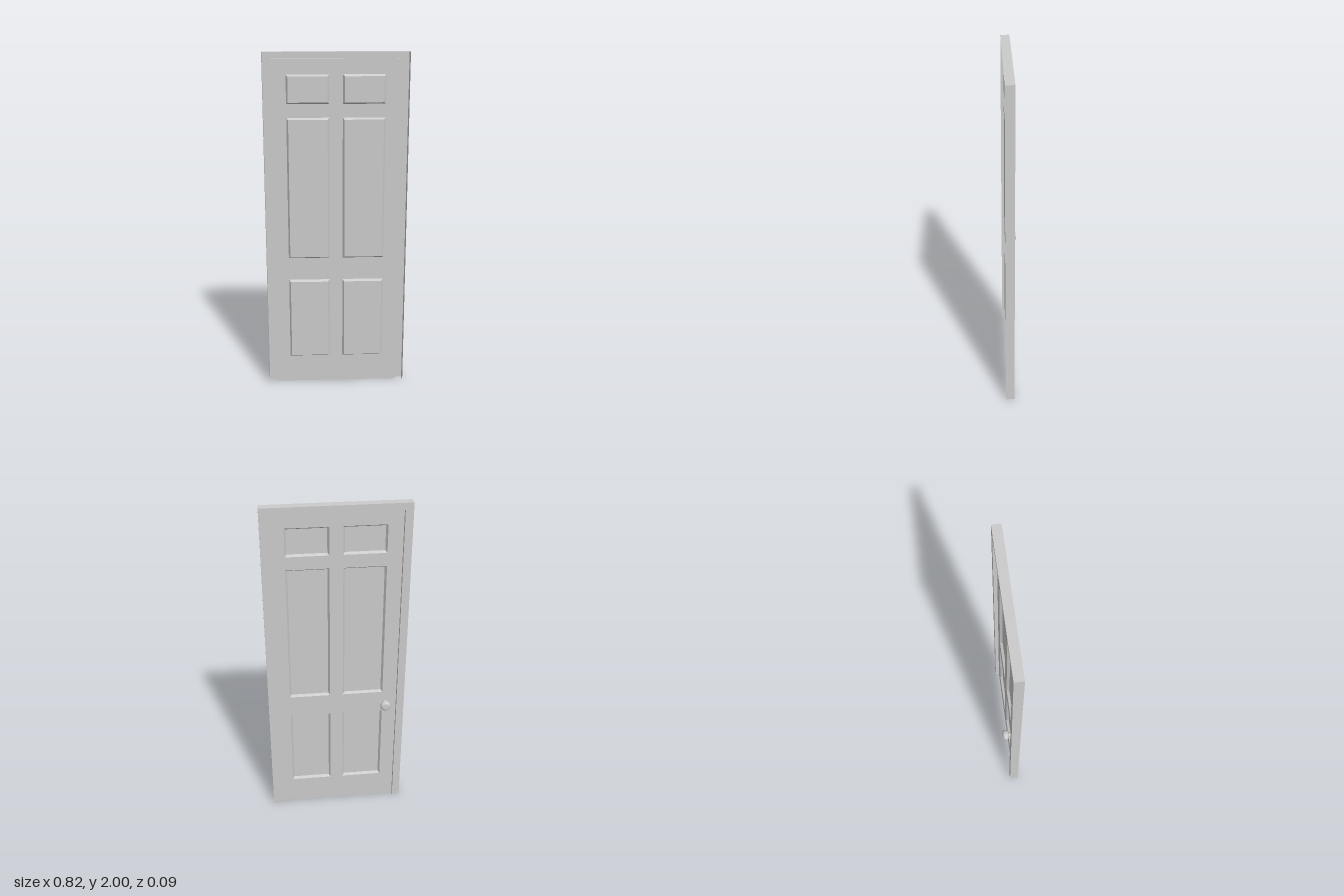
import * as THREE from 'three';

const material = new THREE.MeshStandardMaterial({ color: 0xcccccc, side: THREE.DoubleSide });

const HALF = 0.41, HEIGHT = 2;           // outer size of the frame
const OPEN_X = 0.365, OPEN_Y = 1.96;     // door opening
const FRONT = 0.042, BACK = -0.01;       // depth of the frame
const SHEET = 0.012, RAISED = 0.028;     // door skin and panel face depth

function mesh(name, geometry) {
  const m = new THREE.Mesh(geometry, material);
  m.name = name;
  return m;
}

// Flat-faced skin between successive outlines with equal point counts
function loft(outlines, closed) {
  const pos = [];
  for (let i = 0; i < outlines.length - 1; i++) {
    const a = outlines[i], b = outlines[i + 1], n = a.length;
    for (let j = 0; j < (closed ? n : n - 1); j++) {
      const k = (j + 1) % n;
      pos.push(...a[j], ...a[k], ...b[k], ...a[j], ...b[k], ...b[j]);
    }
  }
  const g = new THREE.BufferGeometry();
  g.setAttribute('position', new THREE.Float32BufferAttribute(pos, 3));
  g.computeVertexNormals();
  return g;
}

// Counter-clockwise rectangle at depth z
const rect = (x0, y0, x1, y1, z) => [[x0, y0, z], [x1, y0, z], [x1, y1, z], [x0, y1, z]];

// Open outline up one jamb, over the head and down the other
const arch = (x, y, z) => [[x, 0, z], [x, y, z], [-x, y, z], [-x, 0, z]];

function makeFrame() {
  return mesh('doorFrame', loft([
    arch(HALF, HEIGHT, FRONT),
    arch(HALF, HEIGHT, BACK),
    arch(OPEN_X, OPEN_Y, BACK),
    arch(OPEN_X, OPEN_Y, SHEET),
  ], false));
}

function makeDoor() {
  const door = new THREE.Group();
  door.name = 'door';
  const rows = { lower: [0.17, 0.667], middle: [0.803, 1.635], upper: [1.712, 1.876] };
  const skin = new THREE.Shape([
    [-OPEN_X, 0], [OPEN_X, 0], [OPEN_X, OPEN_Y], [-OPEN_X, OPEN_Y],
  ].map(p => new THREE.Vector2(...p)));
  const bevel = 0.01;

  for (const [row, [y0, y1]] of Object.entries(rows)) {
    for (const side of [-1, 1]) {
      const x0 = side < 0 ? -0.28 : 0.038, x1 = x0 + 0.242;
      const outer = rect(x0, y0, x1, y1, SHEET);
      skin.holes.push(new THREE.Path(outer.map(p => new THREE.Vector2(p[0], p[1])).reverse()));

      // Pressed panel: sloped border and flat field
      const panel = new THREE.Group();
      panel.name = `${row}${side < 0 ? 'Right' : 'Left'}Panel`;
      const inner = rect(x0 + bevel, y0 + bevel, x1 - bevel, y1 - bevel, RAISED);
      const field = new THREE.PlaneGeometry(x1 - x0 - 2 * bevel, y1 - y0 - 2 * bevel);
      field.translate((x0 + x1) / 2, (y0 + y1) / 2, RAISED);
      panel.add(mesh('panelBorder', loft([outer, inner], true)), mesh('panelField', field));
      door.add(panel);
    }
  }
  const geometry = new THREE.ShapeGeometry(skin);
  geometry.translate(0, 0, SHEET);
  door.add(mesh('doorSkin', geometry));
  return door;
}

function makeKnob() {
  // Short neck, then a flattened round grip with a flat face
  const points = [[0.014, 0], [0.014, 0.02]];
  for (let i = 0; i <= 12; i++) {
    const a = -Math.PI / 2 + (Math.PI * i) / 12;
    points.push([0.016 + 0.015 * Math.cos(a), 0.0395 + 0.0175 * Math.sin(a)]);
  }
  points.push([0, 0.057]);
  const knob = mesh('doorKnob', new THREE.LatheGeometry(points.map(p => new THREE.Vector2(...p)), 32));
  knob.rotation.x = -Math.PI / 2;
  knob.position.set(-0.295, 0.728, SHEET);
  return knob;
}

export function createModel() {
  const model = new THREE.Group();
  model.name = 'panelDoor';
  model.add(makeFrame(), makeDoor(), makeKnob());
  return model;
}
